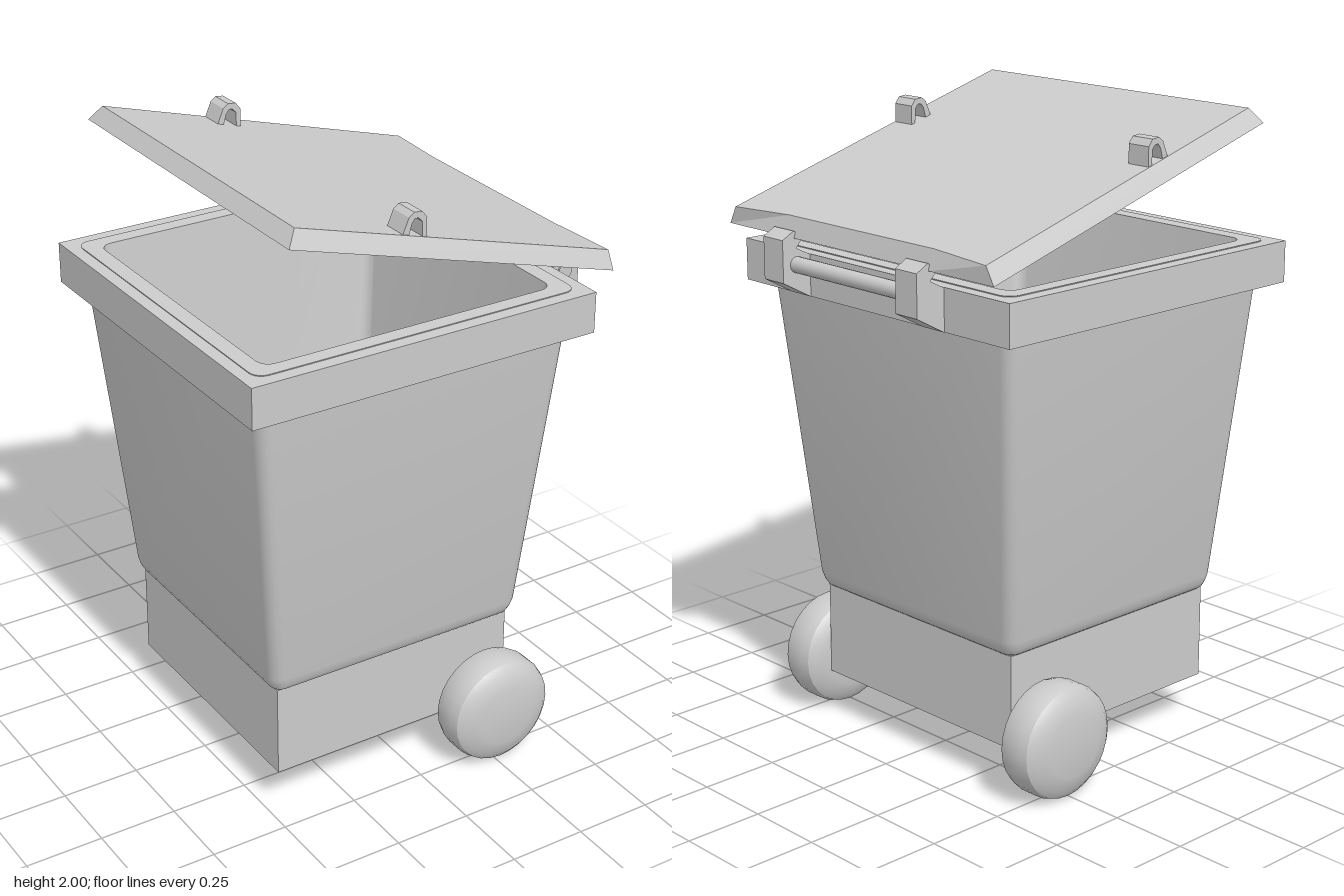
import * as THREE from 'three';
import { toCreasedNormals } from 'three/addons/utils/BufferGeometryUtils.js';

const material = new THREE.MeshStandardMaterial({ color: 0xcccccc });

function addMesh(parent, name, geometry, x = 0, y = 0, z = 0) {
  const mesh = new THREE.Mesh(geometry, material);
  mesh.name = name;
  mesh.position.set(x, y, z);
  parent.add(mesh);
  return mesh;
}

// Skins a series of equal-length rings of [x, y, z] points
function loft(rings, crease) {
  const pos = [];
  const same = (p, q) => p.every((v, k) => Math.abs(v - q[k]) < 1e-7);
  const tri = (a, b, c) => {
    if (!same(a, b) && !same(b, c) && !same(a, c)) pos.push(...a, ...b, ...c);
  };
  for (let j = 0; j < rings.length - 1; j++) {
    const lo = rings[j], hi = rings[j + 1];
    for (let i = 0; i < lo.length; i++) {
      const k = (i + 1) % lo.length;
      tri(lo[i], lo[k], hi[k]);
      tri(lo[i], hi[k], hi[i]);
    }
  }
  const geo = new THREE.BufferGeometry();
  geo.setAttribute('position', new THREE.Float32BufferAttribute(pos, 3));
  return toCreasedNormals(geo, crease);
}

// Horizontal rounded rectangle, counter-clockwise seen from above
function roundedRing(y, x0, x1, hz, r) {
  const ring = [], steps = 6;
  const corners = [[x1 - r, -hz + r], [x0 + r, -hz + r], [x0 + r, hz - r], [x1 - r, hz - r]];
  corners.forEach(([cx, cz], q) => {
    for (let s = 0; s <= steps; s++) {
      const a = (q + s / steps) * Math.PI / 2;
      ring.push([cx + r * Math.cos(a), y, cz - r * Math.sin(a)]);
    }
  });
  return ring;
}
const collapse = (ring, x, y) => ring.map(() => [x, y, 0]);

// Outline in x/y extruded along z, centred on z = 0
function extrudeZ(points, width) {
  const shape = new THREE.Shape(points.map(([x, y]) => new THREE.Vector2(x, y)));
  return new THREE.ExtrudeGeometry(shape, { depth: width, bevelEnabled: false }).translate(0, 0, -width / 2);
}

function makeBody() {
  const rings = [
    roundedRing(0.45, -0.475, 0.368, 0.422, 0.03),
    roundedRing(0.457, -0.485, 0.378, 0.432, 0.035),
    roundedRing(0.475, -0.494, 0.388, 0.441, 0.04),
    roundedRing(0.5, -0.5, 0.395, 0.447, 0.04),
    roundedRing(1.583, -0.597, 0.491, 0.541, 0.04),
    roundedRing(1.583, -0.545, 0.44, 0.49, 0.04),
    roundedRing(0.5, -0.455, 0.35, 0.402, 0.04),
  ];
  rings.unshift(collapse(rings[0], -0.053, 0.45));
  rings.push(collapse(rings[0], -0.053, 0.5));
  return loft(rings, 0.5);
}

function makeRim() {
  const rect = (Cls, x0, x1, h) => new Cls([[x0, -h], [x1, -h], [x1, h], [x0, h]].map(([x, y]) => new THREE.Vector2(x, y)));
  const shape = rect(THREE.Shape, -0.637, 0.53, 0.583);
  shape.holes.push(rect(THREE.Path, -0.57, 0.465, 0.515));
  return new THREE.ExtrudeGeometry(shape, { depth: 0.13, bevelEnabled: false }).rotateX(-Math.PI / 2);
}

// Shallow hollow tray whose upper back edge is notched in the middle
function makeLid() {
  const ring = (y, x0, x1, xMid, hz) =>
    [[x1, hz], [xMid, 0.32], [xMid, -0.32], [x1, -hz], [x0, -hz], [x0, hz]].map(([x, z]) => [x, y, z]);
  const rings = [
    ring(0.033, 0.04, 1.112, 1.092, 0.535),
    ring(0, 0.022, 1.127, 1.127, 0.56),
    ring(0, 0, 1.149, 1.149, 0.583),
    ring(0.053, 0.021, 1.135, 1.113, 0.553),
  ];
  rings.unshift(collapse(rings[0], 0.55, 0.033));
  rings.push(collapse(rings[0], 0.55, 0.053));
  return loft(rings, 0.1);
}

export function createModel() {
  const model = new THREE.Group();
  model.name = 'wheeledBin';

  // Container
  addMesh(model, 'body', makeBody());
  addMesh(model, 'rim', makeRim(), 0, 1.45, 0);
  addMesh(model, 'base', new THREE.BoxGeometry(0.84, 0.3, 0.84), -0.054, 0.3, 0);

  // Open lid
  const lid = addMesh(model, 'lid', makeLid(), -0.515, 1.955, 0);
  lid.rotation.z = -0.2817;

  // Looped clips on top of the lid
  const clip = extrudeZ([[-0.14, 1.88], [-0.112, 1.945], [-0.095, 1.958], [-0.068, 1.955], [-0.052, 1.935],
    [-0.052, 1.86], [-0.066, 1.86], [-0.068, 1.925], [-0.08, 1.938], [-0.092, 1.938], [-0.102, 1.925], [-0.115, 1.88]], 0.078);
  for (const s of [1, -1]) addMesh(model, s > 0 ? 'frontClip' : 'backClip', clip, 0, 0, s * 0.51);

  // Hinge brackets and the rod between them
  const bracket = extrudeZ([[0.52, 1.45], [0.532, 1.45], [0.632, 1.505], [0.632, 1.635], [0.59, 1.658],
    [0.553, 1.635], [0.582, 1.605], [0.532, 1.58], [0.52, 1.58]], 0.09);
  addMesh(model, 'frontHinge', bracket, 0, 0, 0.32);
  addMesh(model, 'backHinge', bracket, 0, 0, -0.273);
  const rod = new THREE.CylinderGeometry(0.025, 0.025, 0.66, 16).rotateX(Math.PI / 2);
  addMesh(model, 'hingeRod', rod, 0.58, 1.555, 0.04);

  // Wheels and axle
  const profile = [[0, 0], [0.11, 0], [0.15, 0.012], [0.172, 0.03], [0.18, 0.055], [0.18, 0.11], [0.172, 0.135],
    [0.15, 0.153], [0.1, 0.166], [0, 0.166]].map(([r, h]) => new THREE.Vector2(r, h));
  const wheel = toCreasedNormals(new THREE.LatheGeometry(profile, 28), 0.5);
  for (const s of [1, -1]) {
    const mesh = addMesh(model, s > 0 ? 'frontWheel' : 'backWheel', wheel, 0.265, 0.185, s * 0.423);
    mesh.rotation.x = s * Math.PI / 2;
  }
  const axle = new THREE.CylinderGeometry(0.025, 0.025, 0.9, 16).rotateX(Math.PI / 2);
  addMesh(model, 'axle', axle, 0.265, 0.185, 0);

  return model;
}
